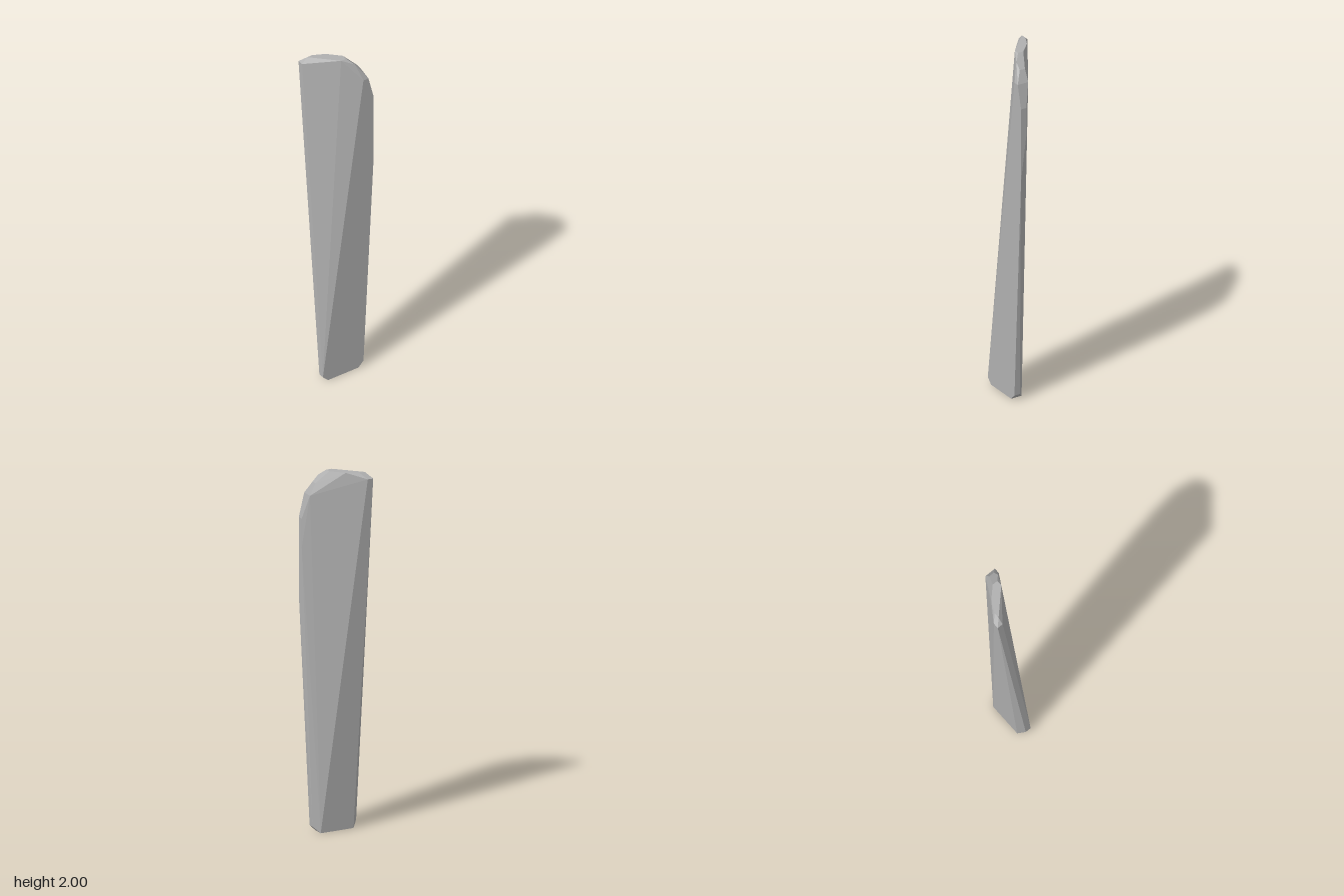
import * as THREE from 'three';
import { ConvexGeometry } from 'three/addons/geometries/ConvexGeometry.js';

// A tall faceted shard: chamfered cross-sections [x, z] at rising heights,
// wrapped in one flat-shaded convex skin.
const sections = [
  // foot, with clipped corners
  { y: 0, ring: [[-0.129, 0.113], [0.065, 0.113], [0.065, 0.048], [-0.129, 0.048]] },
  { y: 0.032, ring: [[-0.161, 0.113], [0.097, 0.113], [0.097, 0.08], [0.065, 0.048], [-0.161, 0.08]] },
  // widest part of the outer edge
  { y: 1.32, ring: [[0.161, 0.113]] },
  { y: 1.58, ring: [[0.161, 0.08]] },
  { y: 1.74, ring: [[0.161, 0.113], [0.161, 0.08]] },
  // rounded shoulder
  { y: 1.87, ring: [[0.097, 0.113], [0.129, 0.113], [0.129, 0.048]] },
  { y: 1.935, ring: [[0.097, 0.08], [0.097, 0.048]] },
  { y: 1.968, ring: [[0.065, 0.08], [-0.161, -0.08], [-0.161, -0.113], [-0.129, -0.113]] },
  // narrow slanted top
  { y: 2, ring: [[-0.129, -0.08], [-0.097, -0.08], [-0.032, -0.048], [0.032, 0.016], [0.032, 0.048], [0, 0.048]] },
];

export function createModel() {
  const group = new THREE.Group();
  group.name = 'stoneShard';

  const stone = new THREE.MeshStandardMaterial({ color: 0xb0b0b0 });
  stone.name = 'grey stone';

  const points = sections.flatMap(({ y, ring }) => ring.map(([x, z]) => new THREE.Vector3(x, y, z)));
  const shard = new THREE.Mesh(new ConvexGeometry(points), stone);
  shard.name = 'shard';
  group.add(shard);
  return group;
}
